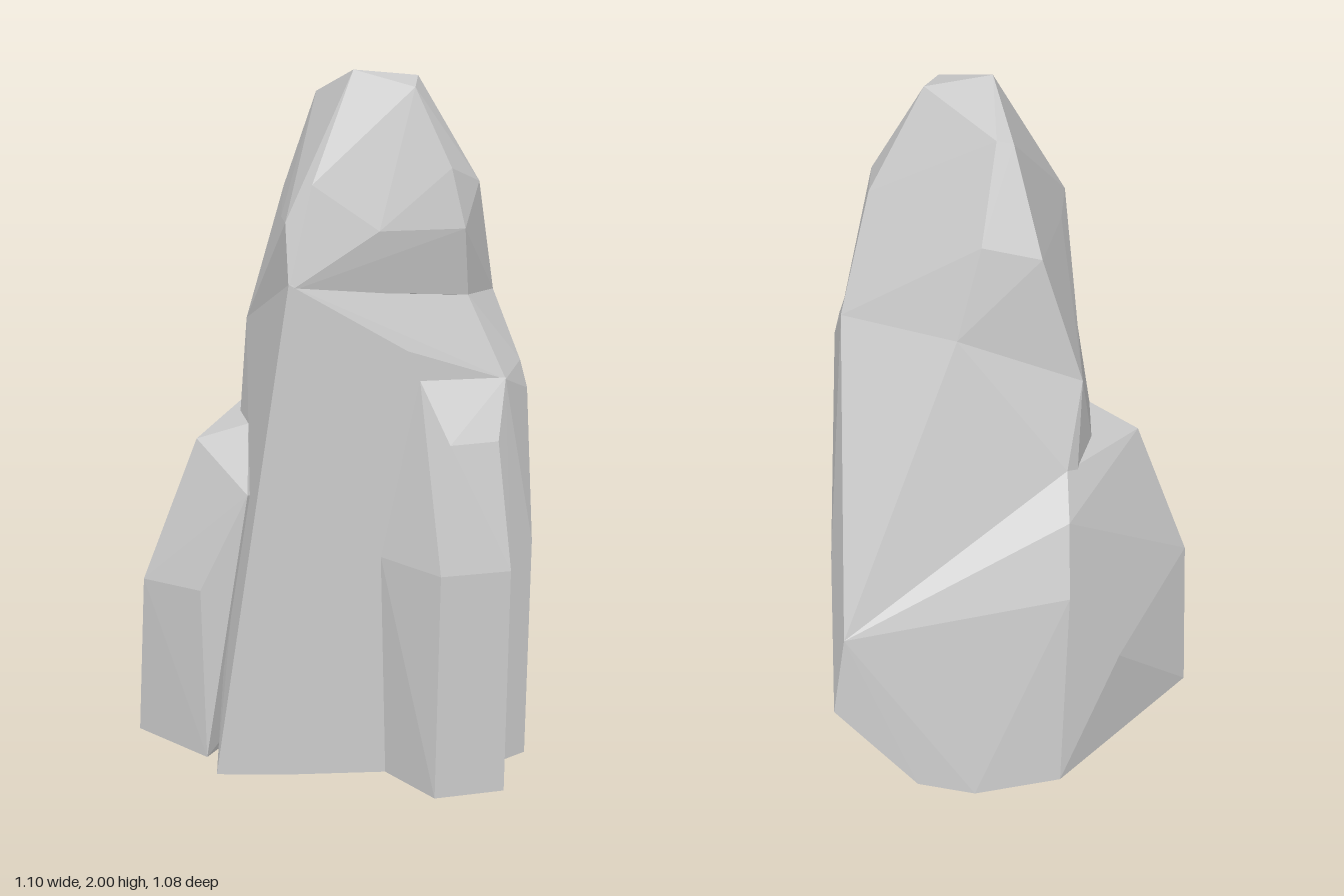
import * as THREE from 'three';
import { ConvexGeometry } from 'three/addons/geometries/ConvexGeometry.js';

const material = new THREE.MeshStandardMaterial({
  color: 0xcccccc, flatShading: true, side: THREE.DoubleSide,
});

// A faceted chunk of stone around a few corners [x, y, z], left open underneath.
function chunk(name, corners) {
  const hull = new ConvexGeometry(corners.map((c) => new THREE.Vector3(...c)));
  const p = hull.attributes.position;
  const kept = [];
  for (let i = 0; i < p.count; i += 3) {
    if (Math.max(p.getY(i), p.getY(i + 1), p.getY(i + 2)) < 0.045) continue;
    for (let k = i; k < i + 3; k++) kept.push(p.getX(k), p.getY(k), p.getZ(k));
  }
  const geometry = new THREE.BufferGeometry();
  geometry.setAttribute('position', new THREE.Float32BufferAttribute(kept, 3));
  geometry.computeVertexNormals();
  const mesh = new THREE.Mesh(geometry, material);
  mesh.name = name;
  return mesh;
}

export function createModel() {
  const rock = new THREE.Group();
  rock.name = 'rock';

  // Broad main block, with its rear corner undercut
  rock.add(chunk('mainBlock', [
    [-0.37, 0, 0.26], [-0.16, 0, 0.31], [0.11, 0, 0.355], [0.44, 0, 0.375],
    [0.545, 0, 0.33], [0.545, 0.02, -0.2], [0.31, 0.04, -0.53],
    [0.14, 0, -0.54], [-0.12, 0, -0.495],
    [0.545, 0.67, 0.33], [0.545, 0.32, -0.495], [0.5, 0.6, -0.495],
    [0.54, 0.7, -0.24], [0.525, 1.12, 0.3], [0.435, 1.17, 0.375],
    [0.505, 1.2, 0.29], [0.48, 1.24, -0.1], [0.16, 1.26, 0.355],
    [-0.18, 1.22, 0.3], [-0.23, 1.0, 0.075], [-0.14, 1.01, -0.27],
    [-0.185, 1.25, -0.175], [0.16, 1.42, -0.22], [0.48, 1.38, -0.01],
    [0.46, 1.38, 0.17], [0.34, 1.4, 0.31], [-0.16, 1.45, 0.31],
  ]));

  // Tapering peak
  rock.add(chunk('peak', [
    [-0.185, 1.25, -0.175], [0.16, 1.42, -0.22], [0.48, 1.38, -0.01],
    [0.46, 1.38, 0.17], [0.34, 1.4, 0.315], [-0.16, 1.43, 0.31],
    [-0.16, 1.61, 0.27], [-0.14, 1.6, 0.12], [-0.07, 1.64, -0.175],
    [0.09, 1.68, -0.175], [0.39, 1.7, 0.11], [0.385, 1.7, 0.25],
    [0.315, 1.59, 0.355], [0.08, 1.59, 0.345], [0.28, 1.75, 0.335],
    [-0.09, 1.71, 0.285], [0.19, 1.96, 0.285], [0.045, 2, 0.19],
    [0.23, 1.98, 0.17], [0.045, 1.93, -0.06], [0, 1.92, -0.06],
  ]));

  // Lower shoulder on the side and back
  rock.add(chunk('sideShoulder', [
    [-0.55, 0, -0.08], [-0.38, 0, 0.15], [0.14, 0, -0.54], [-0.12, 0, -0.495],
    [-0.53, 0.51, -0.03], [-0.39, 0.53, 0.15], [-0.3, 0.38, -0.36],
    [-0.37, 0.945, 0.01], [-0.26, 0.83, 0.21], [-0.23, 1.0, 0.075],
    [-0.14, 1.01, -0.27], [-0.14, 0.91, -0.38], [-0.14, 0.69, -0.45],
    [0.5, 0.6, -0.495], [0.31, 0.04, -0.53],
  ]));

  // Upright pillar on the front
  rock.add(chunk('frontPillar', [
    [0.11, 0, 0.355], [0.205, 0, 0.538], [0.41, 0, 0.538], [0.435, 0, 0.375],
    [0.09, 0.67, 0.355], [0.21, 0.67, 0.538], [0.41, 0.67, 0.538],
    [0.25, 1.02, 0.47], [0.39, 1.02, 0.46],
    [0.19, 1.18, 0.375], [0.435, 1.175, 0.375],
  ]));

  return rock;
}
